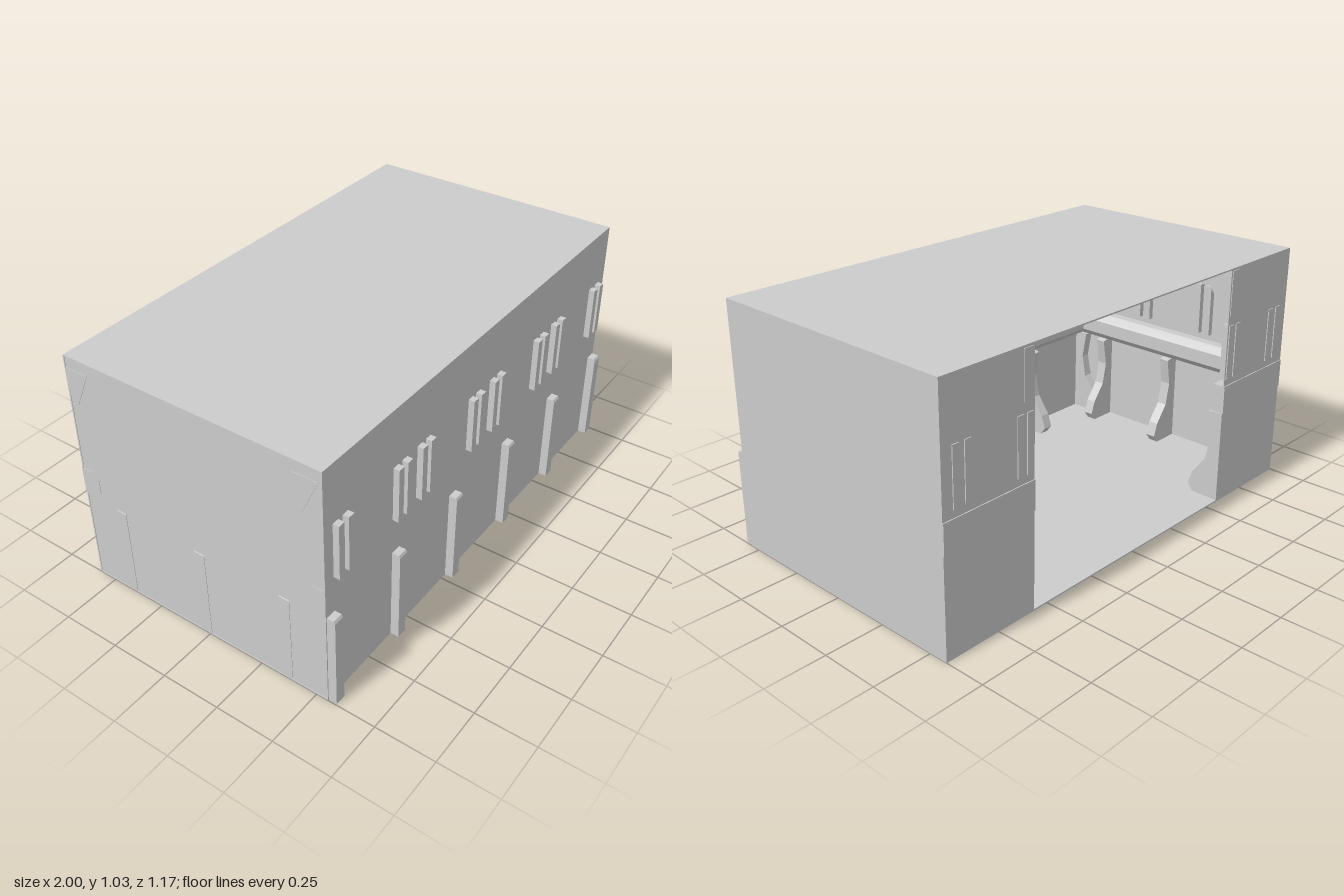
import * as THREE from 'three';

const mat = new THREE.MeshStandardMaterial({ color: 0xcccccc, side: THREE.DoubleSide });
const H = 1.03, T = 0.006;

function add(parent, name, geo, x = 0, y = 0, z = 0) {
  const m = new THREE.Mesh(geo, mat);
  m.name = name;
  m.position.set(x, y, z);
  parent.add(m);
  return m;
}

// Extrudes a profile of [depth into the room, height] points along the wall
function profile(points, width) {
  const shape = new THREE.Shape(points.map(p => new THREE.Vector2(p[0], p[1])));
  const g = new THREE.ExtrudeGeometry(shape, { depth: width, bevelEnabled: false });
  g.translate(0, 0, -width / 2);
  g.rotateY(-Math.PI / 2);
  return g;
}

// Buttress with a narrow waist and a flared foot; "out" is how far it passes the wall
const buttress = out => profile([
  [-out, 0], [0.12, 0], [0.15, 0.04], [0.13, 0.1], [0.07, 0.18],
  [0.05, 0.28], [0.07, 0.4], [0.05, 0.405], [-out + 0.006, 0.405], [-out, 0.395]], 0.045);

// Horizontal chamfered band
const band = (out, w) => profile([
  [-out, 0.41], [0.05, 0.41], [0.08, 0.44], [0.08, 0.5], [0.05, 0.53], [-out, 0.53]], w);

// Knee bracket under the roof
const bracket = out => profile([
  [-out, 0.83], [0.03, 0.83], [0.13, 0.98], [0.13, 1.02], [-out, 1.02]], 0.045);

// Vertical window bar
const bar = out => new THREE.BoxGeometry(0.03, 0.23, out + 0.03).translate(0, 0, (0.03 - out) / 2);

// One wall group: local z points into the room, local x runs along the wall
function wall(root, name, pos, turn, o) {
  const g = new THREE.Group();
  g.name = name;
  g.position.set(...pos);
  g.rotation.y = turn;
  for (const [a, b] of o.spans) {
    const w = b - a, c = (a + b) / 2;
    add(g, 'wallPanel', new THREE.BoxGeometry(w, H, T), c, H / 2, T / 2);
    add(g, 'wallBand', band(o.bandOut, w), c);
    if (o.rails) for (const y of [0.82, 0.88, 0.94])
      add(g, 'rail', new THREE.BoxGeometry(w - 0.02, 0.022, 0.025), c, y, 0.05);
  }
  for (const x of o.ribs) add(g, 'buttress', buttress(o.ribOut), x);
  for (const x of o.brackets) add(g, 'roofBracket', bracket(o.bracketOut), x);
  for (const x of o.bars) add(g, 'windowBar', bar(o.barOut), x, 0.675);
  root.add(g);
}

export function createModel() {
  const root = new THREE.Group();
  root.name = 'hall';

  // Floor and roof
  add(root, 'floor', new THREE.BoxGeometry(2, T, 1.13), 0, T / 2, -0.015);
  add(root, 'roof', new THREE.BoxGeometry(2, T, 1.13), 0, H - T / 2, -0.015);

  const bars = [0.05, 0.103, 0.392, 0.445, 0.54, 0.593, 0.883, 0.937];
  const both = a => a.flatMap(x => [x, -x]);

  // Front wall, with buttresses and bars standing proud outside
  wall(root, 'frontWall', [0, 0, 0.55], Math.PI, {
    spans: [[-1, 1]], rails: true, ribs: both([0.2, 0.585, 0.973]), brackets: both([0.2, 0.585]),
    bars: both(bars), ribOut: 0.035, barOut: 0.025, bandOut: -0.001, bracketOut: -0.001,
  });

  // Back wall, open in the middle
  wall(root, 'backWall', [0, 0, -0.58], 0, {
    spans: [[-1, -0.57], [0.57, 1]], ribs: both([0.595]), brackets: both([0.6]),
    bars: both([0.593, 0.64, 0.883, 0.937]), ribOut: -0.001, barOut: 0.004, bandOut: 0.004, bracketOut: 0.003,
  });

  // Side walls
  const side = {
    spans: [[-0.565, 0.565]], rails: true, ribs: [-0.385, 0, 0.385], brackets: [-0.385, 0, 0.385],
    bars: both([0.14, 0.195, 0.48]), barOut: -0.001, bandOut: -0.001, bracketOut: -0.001,
  };
  wall(root, 'rightWall', [-0.998, 0, -0.015], Math.PI / 2, { ...side, ribOut: 0.002 });
  wall(root, 'leftWall', [1, 0, -0.015], -Math.PI / 2, { ...side, ribOut: -0.001 });

  // Diagonal knee brackets in the four corners
  for (const sx of [-1, 1]) for (const z of [-0.58, 0.55]) {
    const m = add(root, 'cornerBracket', bracket(-0.03), sx * 0.998, 0, z);
    m.rotation.y = Math.atan2(-sx, z < 0 ? 1 : -1);
  }
  // Bracket ends showing through the right wall
  for (const z of [-0.52, 0.485]) {
    const s = new THREE.Shape();
    s.moveTo(0.05, 0.83);
    s.lineTo(0.06, 0.98);
    s.lineTo(-0.05, 0.98);
    s.lineTo(0.02, 0.83);
    const g = new THREE.ExtrudeGeometry(s, { depth: 0.01, bevelEnabled: false });
    g.rotateY(Math.PI / 2);
    add(root, 'bracketEnd', g, -1, 0, z);
  }
  return root;
}
